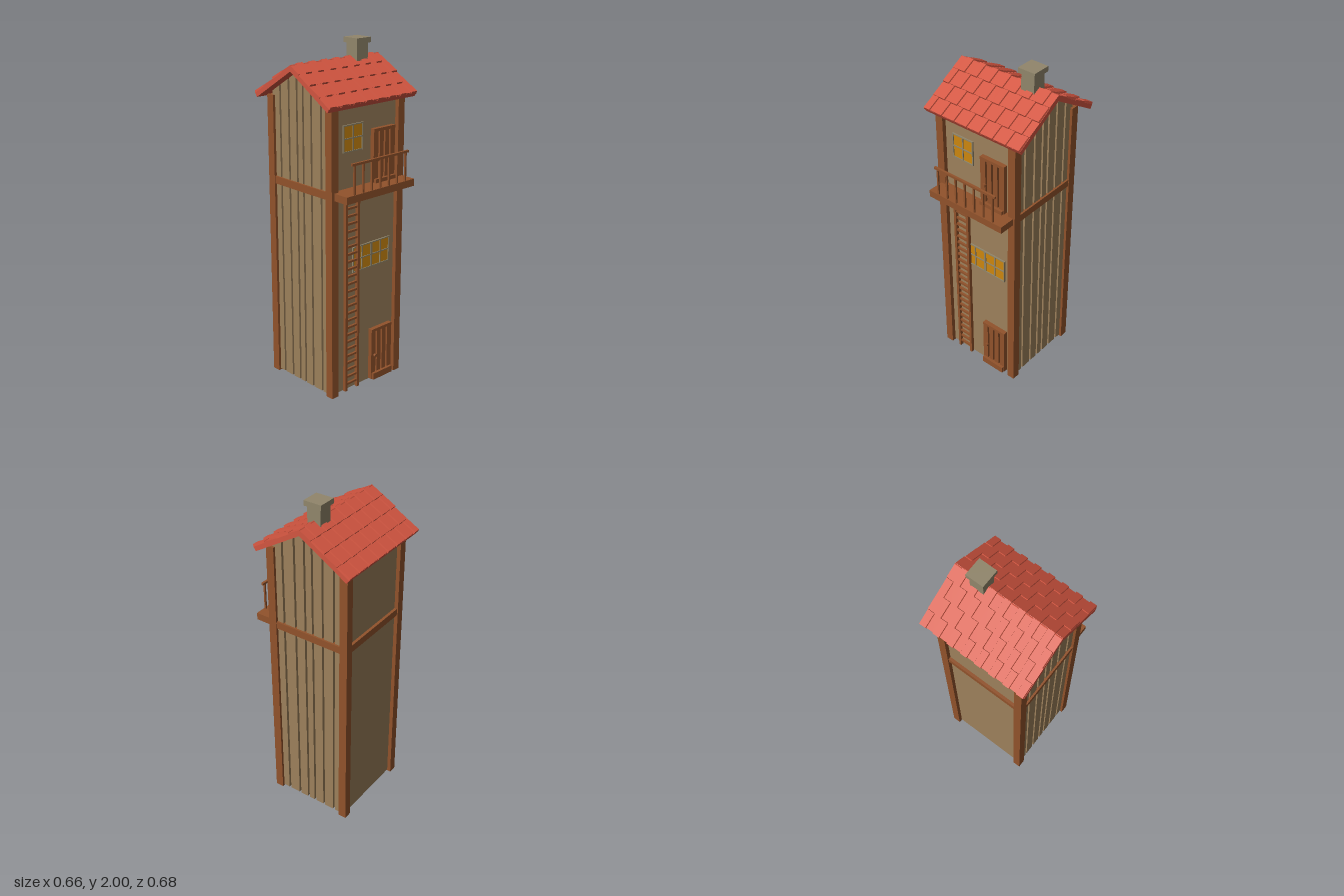
import * as THREE from 'three';

const mat = (name, color) => Object.assign(new THREE.MeshStandardMaterial({ color }), { name });

export function createModel() {
  const plaster = mat('tan plaster', 0x9c805b);
  const wood = mat('brown wood', 0x91522b);
  const red = mat('red roof', 0xd25540);
  const stone = mat('grey stone', 0x91866b);
  const glass = mat('amber glass', 0xcc860e);

  const model = new THREE.Group();
  const add = (parent, name, geometry, material) => {
    const mesh = new THREE.Mesh(geometry, material);
    mesh.name = name;
    parent.add(mesh);
    return mesh;
  };
  // Box given by its limits on each axis
  const box = (parent, name, material, x0, x1, y0, y1, z0, z1) => {
    const mesh = add(parent, name, new THREE.BoxGeometry(x1 - x0, y1 - y0, z1 - z0), material);
    mesh.position.set((x0 + x1) / 2, (y0 + y1) / 2, (z0 + z1) / 2);
    return mesh;
  };
  const group = (name, x = 0, y = 0, z = 0) => {
    const g = new THREE.Group();
    g.name = name;
    g.position.set(x, y, z);
    model.add(g);
    return g;
  };

  const ridgeZ = -0.03, ridgeY = 1.893, slope = 0.613, pitch = Math.atan(slope);
  const under = z => 1.868 - slope * Math.abs(z - ridgeZ);

  // Wall panel from z0 to z1 that follows the gable, spanning x0..x1
  const gablePanel = (parent, name, z0, z1, x0, x1) => {
    const s = new THREE.Shape();
    s.moveTo(z0, 0.008);
    s.lineTo(z1, 0.008);
    s.lineTo(z1, under(z1));
    if (z0 < ridgeZ && z1 > ridgeZ) s.lineTo(ridgeZ, under(ridgeZ));
    s.lineTo(z0, under(z0));
    const geo = new THREE.ExtrudeGeometry(s, { depth: x1 - x0, bevelEnabled: false });
    geo.rotateY(-Math.PI / 2).translate(x1, 0, 0);
    return add(parent, name, geo, plaster);
  };

  // Walls, with vertical planks on both sides
  const walls = group('walls');
  gablePanel(walls, 'wallCore', -0.265, 0.215, -0.25, 0.24);
  const gaps = [-0.265, -0.193, -0.12, -0.053, -0.003, 0.063, 0.142, 0.215];
  for (let i = 0; i < gaps.length - 1; i++) {
    const z0 = gaps[i] + 0.007, z1 = gaps[i + 1] - 0.007;
    gablePanel(walls, 'leftPlank', z0, z1, 0.235, 0.257);
    gablePanel(walls, 'rightPlank', z0, z1, -0.267, -0.245);
  }

  // Corner posts and the belt of beams
  const frame = group('timberFrame');
  for (const [x0, x1] of [[-0.282, -0.233], [0.224, 0.272]])
    for (const [z0, z1] of [[0.19, 0.24], [-0.288, -0.238]])
      box(frame, 'cornerPost', wood, x0, x1, 0, 1.7, z0, z1);
  box(frame, 'leftBeam', wood, 0.23, 0.268, 1.192, 1.235, -0.24, 0.2);
  box(frame, 'rightBeam', wood, -0.278, -0.24, 1.192, 1.235, -0.24, 0.2);
  box(frame, 'backBeam', wood, -0.24, 0.23, 1.192, 1.235, -0.282, -0.25);

  // Roof: two slopes with rows of staggered tapered tiles
  const roof = group('roof', 0, ridgeY, ridgeZ);
  const length = 0.358, columns = 15, cell = 0.66 / columns;
  const rows = [-0.004, 0.082, 0.176, 0.27, length];
  const tileShape = (base, top, h) => {
    const s = new THREE.Shape();
    s.moveTo(-base, -0.01);
    s.lineTo(base, -0.01);
    s.lineTo(top, h);
    s.lineTo(-top, h);
    return s;
  };
  const tileGeometry = (shape, len) =>
    new THREE.ExtrudeGeometry(shape, { depth: len, bevelEnabled: false });
  const highShape = tileShape(cell / 2 + 0.002, cell / 2 - 0.002, 0.009);
  const lowShape = tileShape(cell / 2, cell / 2, 0.002);
  for (const side of [0, 1]) {
    const turn = new THREE.Group();
    turn.name = side ? 'backRoofHalf' : 'frontRoofHalf';
    turn.rotation.y = side * Math.PI;
    roof.add(turn);
    const half = new THREE.Group();
    half.name = 'slope';
    half.rotation.x = pitch;
    turn.add(half);
    box(half, 'roofSlab', red, -0.33, 0.33, -0.026, 0, 0, length - 0.002);
    for (let r = 0; r < 4; r++) {
      const len = rows[r + 1] - rows[r];
      const high = tileGeometry(highShape, len), low = tileGeometry(lowShape, len - 0.003);
      for (let c = 0; c < columns; c++) {
        const raised = (c + r) % 2 === 1;
        const tile = add(half, 'roofTile', raised ? high : low, red);
        const edge = raised && (c === 0 || c === columns - 1) ? 0.002 * (c ? -1 : 1) : 0;
        tile.position.set(-0.33 + cell * (c + 0.5) + edge, 0, rows[r]);
        tile.rotation.x = -0.05;
      }
    }
  }

  // Chimney
  const chimney = group('chimney');
  box(chimney, 'chimneyShaft', stone, 0.12, 0.205, 1.86, 1.975, -0.072, 0.012);
  box(chimney, 'chimneyCap', stone, 0.108, 0.217, 1.97, 2, -0.085, 0.025);

  // Plank doors with sill and knob
  for (const [name, y] of [['lowerDoor', 0], ['upperDoor', 1.205]]) {
    const door = group(name, 0.115, y, 0);
    box(door, 'doorBack', wood, -0.08, 0.08, 0.012, 0.33, 0.21, 0.226);
    box(door, 'doorTop', wood, -0.083, 0.083, 0.318, 0.335, 0.21, 0.242);
    const edges = [-0.083, -0.042, 0, 0.042, 0.083];
    for (let i = 0; i < 4; i++)
      box(door, 'doorPlank', wood, edges[i] + (i ? 0.006 : 0), edges[i + 1] - (i < 3 ? 0.006 : 0),
        0.012, 0.325, 0.21, 0.24);
    box(door, 'doorSill', wood, -0.078, 0.078, 0.012, 0.052, 0.21, 0.256);
    const knob = add(door, 'doorKnob', new THREE.CylinderGeometry(0.011, 0.011, 0.018, 8), wood);
    knob.rotation.x = Math.PI / 2;
    knob.position.set(-0.055, 0.162, 0.243);
  }

  // Four-pane windows
  for (const [name, x, y] of [['upperWindow', -0.107, 1.513],
    ['lowerWindow', -0.034, 0.805], ['lowerWindow', 0.112, 0.805]]) {
    const win = group(name, x, y, 0);
    const w = 0.073, h = 0.076, b = 0.007;
    box(win, 'windowGlass', glass, -w + 0.002, w - 0.002, -h + 0.002, h - 0.002, 0.212, 0.219);
    for (const s of [-1, 0, 1]) {
      const bx = s * (w - b / 2), by = s * (h - b / 2);
      box(win, 'windowStile', stone, bx - b / 2, bx + b / 2, -h, h, 0.212, 0.224);
      box(win, 'windowRail', stone, -w, w, by - b / 2, by + b / 2, 0.212, 0.2235);
    }
  }

  // Balcony with railing
  const balcony = group('balcony');
  box(balcony, 'balconyFloor', wood, -0.262, 0.26, 1.193, 1.235, 0.205, 0.337);
  box(balcony, 'handRail', wood, -0.22, 0.213, 1.396, 1.409, 0.321, 0.335);
  for (let i = 0; i < 7; i++) {
    const x = -0.199 + i * 0.0653;
    box(balcony, 'baluster', wood, x - 0.005, x + 0.005, 1.23, 1.4, 0.323, 0.333);
  }

  // Ladder up to the balcony
  const ladder = group('ladder');
  for (const x of [-0.169, -0.077])
    box(ladder, 'ladderRail', wood, x - 0.008, x + 0.008, 0.008, 1.195, 0.22, 0.24);
  for (let i = 0; i < 26; i++) {
    const y = 0.05 + i * 0.0447;
    box(ladder, 'ladderRung', wood, -0.17, -0.076, y - 0.006, y + 0.006, 0.223, 0.236);
  }

  return model;
}
